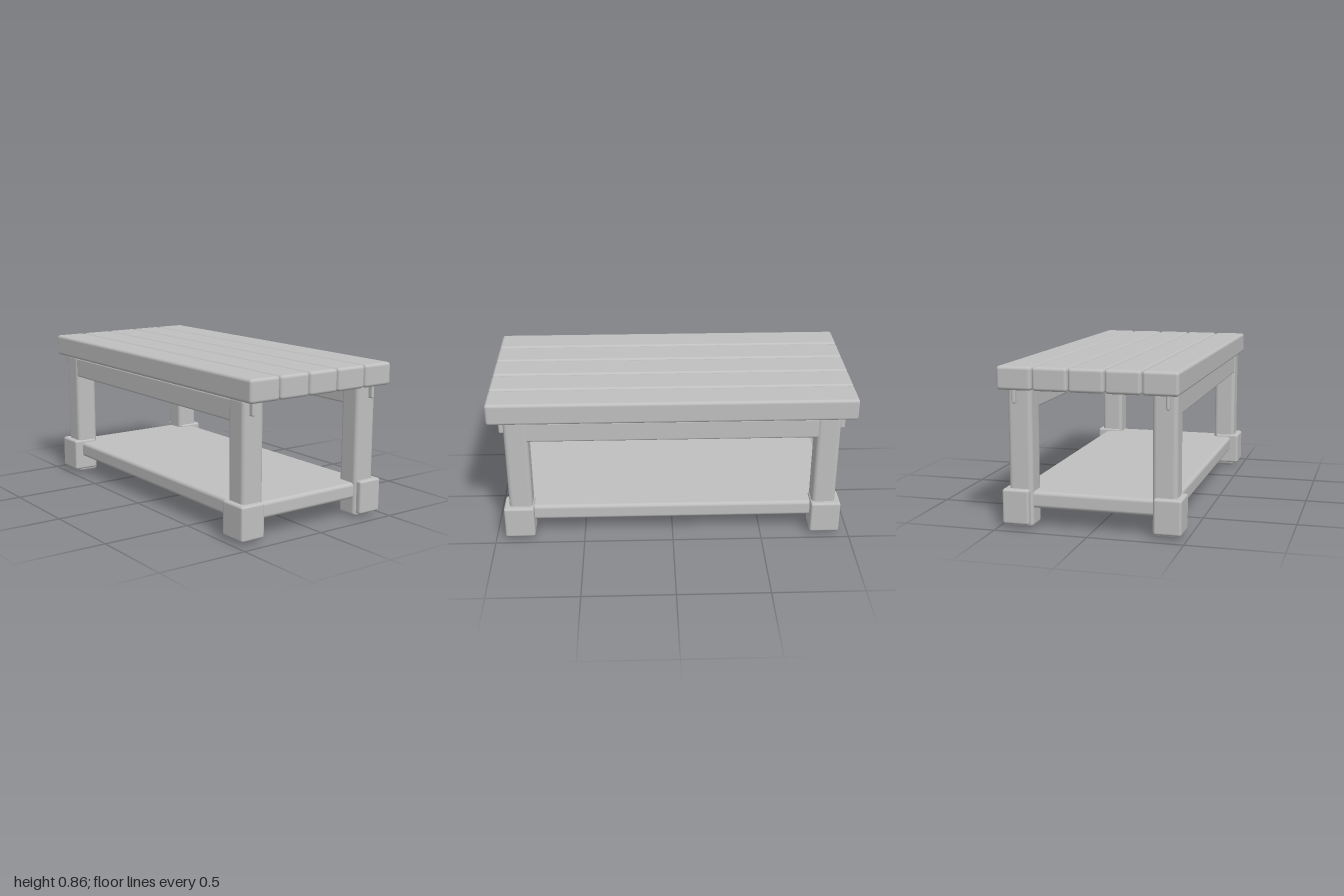
import * as THREE from 'three';
import { RoundedBoxGeometry } from 'three/addons/geometries/RoundedBoxGeometry.js';

export function createModel() {
  const model = new THREE.Group();
  model.name = 'slattedBench';
  const grey = new THREE.MeshStandardMaterial({ color: 0xbfbfbf });
  grey.name = 'plainGrey';

  // Rounded block given by its lower and upper corners
  function block(name, [x0, y0, z0], [x1, y1, z1], radius) {
    const geometry = new RoundedBoxGeometry(x1 - x0, y1 - y0, z1 - z0, 3, radius);
    const mesh = new THREE.Mesh(geometry, grey);
    mesh.position.set((x0 + x1) / 2, (y0 + y1) / 2, (z0 + z1) / 2);
    mesh.name = name;
    model.add(mesh);
  }

  // Same block, mirrored by sign along x and z
  function mirrored(name, sx, sz, [x0, x1], [y0, y1], [z0, z1], radius) {
    const xs = [sx * x0, sx * x1].sort((a, b) => a - b);
    const zs = [sz * z0, sz * z1].sort((a, b) => a - b);
    block(name, [xs[0], y0, zs[0]], [xs[1], y1, zs[1]], radius);
  }

  // Five seat planks
  for (let i = -2; i <= 2; i++) {
    const z = i * 0.189;
    block('seatPlank', [-1, 0.737, z - 0.092], [1, 0.859, z + 0.092], 0.017);
  }

  // Legs with wrapped foot blocks and small tenon ends
  for (const sx of [-1, 1]) {
    for (const sz of [-1, 1]) {
      mirrored('leg', sx, sz, [0.785, 0.915], [0.004, 0.75], [0.317, 0.447], 0.024);
      mirrored('footBlock', sx, sz, [0.778, 0.945], [0.025, 0.211], [0.33, 0.475], 0.013);
      mirrored('tenonEnd', sx, sz, [0.86, 0.942], [0.66, 0.75], [0.393, 0.412], 0.008);
    }
  }

  // Aprons under the seat, front and back
  for (const sz of [-1, 1]) {
    mirrored('apron', 1, sz, [-0.805, 0.805], [0.618, 0.736], [0.335, 0.442], 0.012);
  }

  // Lower shelf
  block('lowerShelf', [-0.9, 0.107, -0.425], [0.9, 0.196, 0.425], 0.02);

  return model;
}
